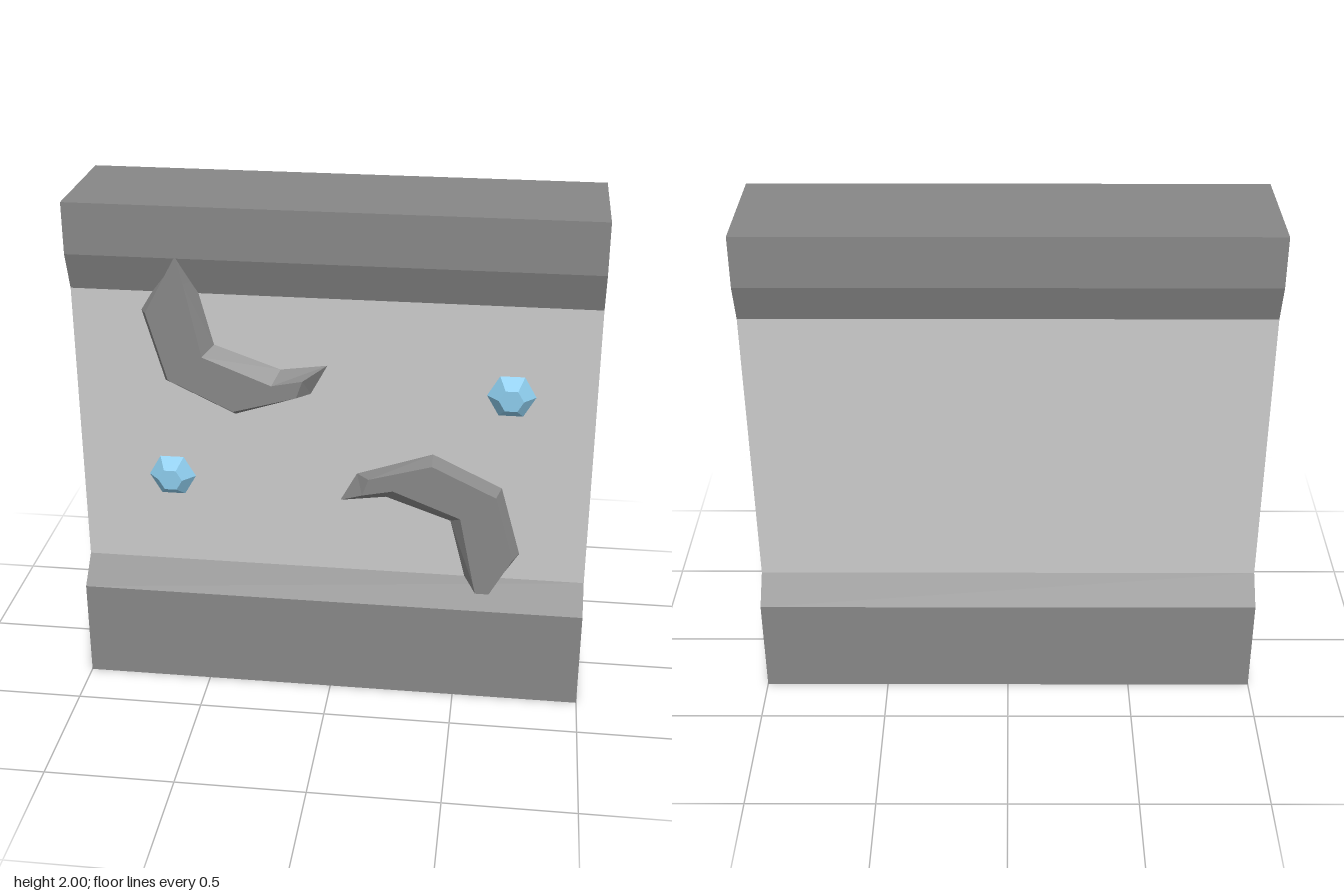
import * as THREE from 'three';

const stone = new THREE.MeshStandardMaterial({ color: 0xcccccc, flatShading: true });
const darkStone = new THREE.MeshStandardMaterial({ color: 0x878787, flatShading: true });
const crystal = new THREE.MeshStandardMaterial({ color: 0x8ccbeb, flatShading: true });

// Long block along x from a half profile of [z, y] points, mirrored front to back
function block(name, half, material) {
  const points = [...half, ...half.map(([z, y]) => [-z, y]).reverse()];
  const shape = new THREE.Shape(points.map(([z, y]) => new THREE.Vector2(z, y)));
  const geometry = new THREE.ExtrudeGeometry(shape, { depth: 2, bevelEnabled: false });
  geometry.translate(0, 0, -1).rotateY(-Math.PI / 2);
  const mesh = new THREE.Mesh(geometry, material);
  mesh.name = name;
  return mesh;
}

// Crescent outlines, counter-clockwise: wide foot on the wall, narrower raised face
const foot = [[0.03, 0.81], [0.21, 0.835], [0.465, 0.745], [0.53, 0.49], [0.57, 0.34],
  [0.74, 0.615], [0.66, 0.9], [0.39, 1.03], [0.095, 0.93]];
const face = [[0.12, 0.86], [0.24, 0.885], [0.505, 0.78], [0.565, 0.49], [0.59, 0.38],
  [0.715, 0.61], [0.64, 0.88], [0.39, 1.0], [0.145, 0.93]];

function crescentGeometry() {
  const n = foot.length;
  const positions = [...foot.flatMap(([x, y]) => [x, y, 0.2]), ...face.flatMap(([x, y]) => [x, y, 0.25])];
  const index = [];
  for (let i = 0; i < n; i++) {
    const j = (i + 1) % n;
    index.push(i, j, n + j, i, n + j, n + i);
  }
  const outline = (list) => list.map(([x, y]) => new THREE.Vector2(x, y));
  for (const [a, b, c] of THREE.ShapeUtils.triangulateShape(outline(face), [])) index.push(n + a, n + b, n + c);
  for (const [a, b, c] of THREE.ShapeUtils.triangulateShape(outline(foot), [])) index.push(a, c, b);
  const geometry = new THREE.BufferGeometry();
  geometry.setAttribute('position', new THREE.Float32BufferAttribute(positions, 3));
  geometry.setIndex(index);
  const flat = geometry.toNonIndexed();
  flat.computeVertexNormals();
  return flat;
}

export function createModel() {
  const group = new THREE.Group();
  group.name = 'wallSegment';

  // Wall with its flared plinth and cap
  group.add(block('wall', [[0.2, 0.5], [0.2, 1.65]], stone));
  group.add(block('plinth', [[0.3, 0], [0.3, 0.4], [0.2, 0.5]], darkStone));
  group.add(block('cap', [[0.2, 1.65], [0.25, 1.8], [0.25, 2]], darkStone));

  // Two crescents, the upper one turned half a turn
  const geometry = crescentGeometry();
  const lower = new THREE.Mesh(geometry, darkStone);
  lower.name = 'lowerCrescent';
  const upper = new THREE.Mesh(geometry, darkStone);
  upper.name = 'upperCrescent';
  upper.rotation.z = Math.PI;
  upper.position.set(0.01, 2.19, 0);
  group.add(lower, upper);

  // Six-sided gems set in the front
  const gem = new THREE.CylinderGeometry(0.047, 0.093, 0.05, 6, 1, false, Math.PI / 6);
  gem.rotateX(Math.PI / 2);
  for (const [name, x, y] of [['leftGem', 0.68, 1.29], ['rightGem', -0.64, 0.88]]) {
    const mesh = new THREE.Mesh(gem, crystal);
    mesh.name = name;
    mesh.position.set(x, y, 0.225);
    group.add(mesh);
  }
  return group;
}
